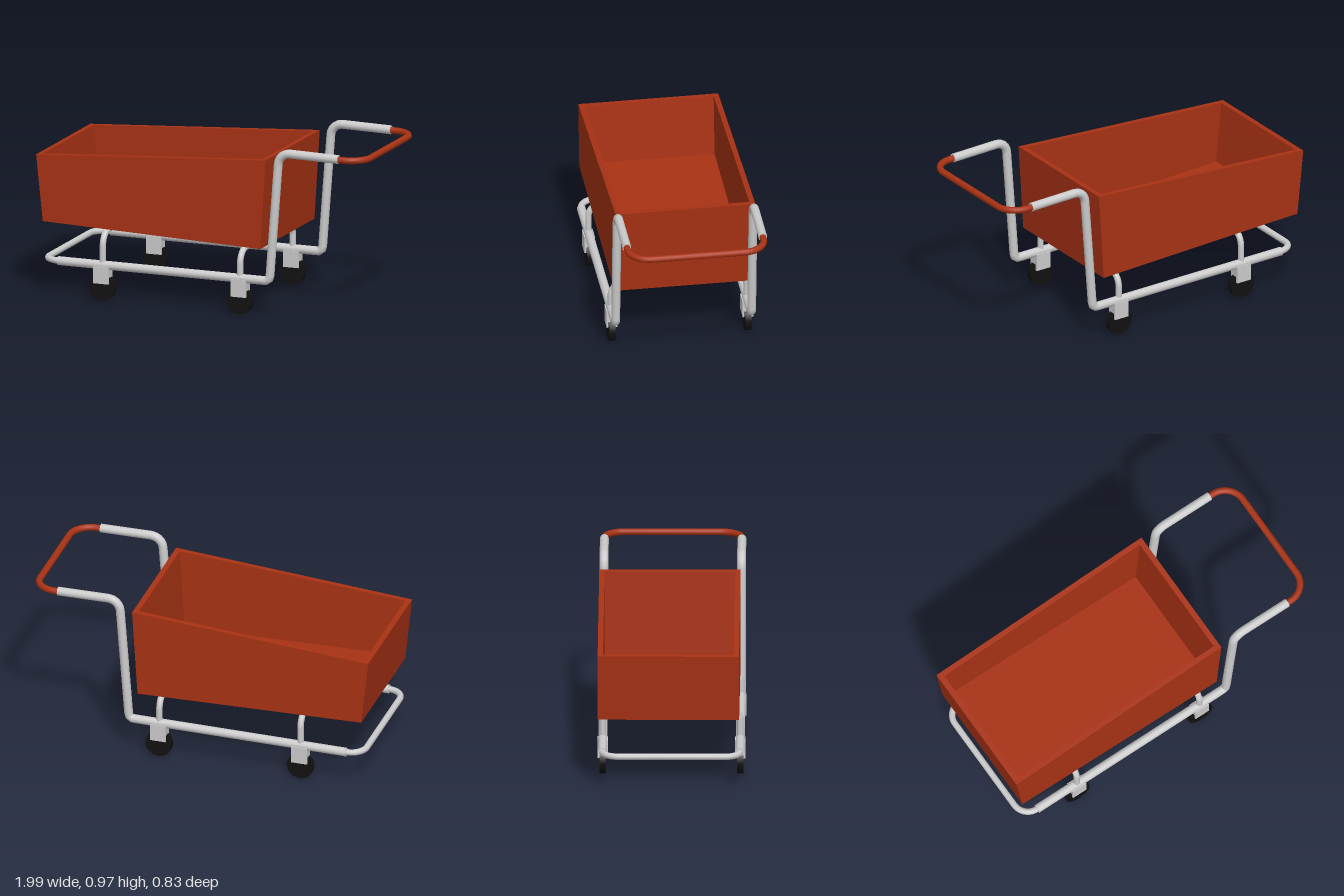
import * as THREE from 'three';

const grey = new THREE.MeshStandardMaterial({ color: 0xcccccc });
const red = new THREE.MeshStandardMaterial({ color: 0xa83214 });
const black = new THREE.MeshStandardMaterial({ color: 0x111111 });

const RAIL_Z = 0.384, RAIL_Y = 0.203;
const V = (x, y, z) => new THREE.Vector3(x, y, z);

function addMesh(parent, name, geometry, material) {
  const mesh = new THREE.Mesh(geometry, material);
  mesh.name = name;
  parent.add(mesh);
  return mesh;
}

// Capped pipe through corner points, each inner corner rounded by its bend size
function pipe(parent, name, points, bends, radius, material) {
  const path = new THREE.CurvePath();
  let from = points[0];
  for (let i = 1; i < points.length - 1; i++) {
    const p = points[i], b = bends[i - 1];
    const inPt = p.clone().add(points[i - 1].clone().sub(p).setLength(b));
    const outPt = p.clone().add(points[i + 1].clone().sub(p).setLength(b));
    path.add(new THREE.LineCurve3(from, inPt));
    // handles at 0.55 of the bend approximate a circular arc
    path.add(new THREE.CubicBezierCurve3(inPt, inPt.clone().lerp(p, 0.55), outPt.clone().lerp(p, 0.55), outPt));
    from = outPt;
  }
  path.add(new THREE.LineCurve3(from, points[points.length - 1]));

  const group = new THREE.Group();
  group.name = name;
  parent.add(group);
  addMesh(group, name + 'Tube', new THREE.TubeGeometry(path, 110, radius, 14), material);
  for (const t of [0, 1]) {
    const dir = path.getTangentAt(t).multiplyScalar(t ? 1 : -1);
    const cap = addMesh(group, name + 'Cap', new THREE.CircleGeometry(radius, 14), material);
    cap.position.copy(path.getPointAt(t));
    cap.quaternion.setFromUnitVectors(V(0, 0, 1), dir);
  }
}

// Flat panel: an outline in x and y, extruded from z0 to z1
function panel(parent, name, outline, z0, z1, material) {
  const shape = new THREE.Shape(outline.map(([x, y]) => new THREE.Vector2(x, y)));
  const geometry = new THREE.ExtrudeGeometry(shape, { depth: z1 - z0, bevelEnabled: false });
  geometry.translate(0, 0, z0);
  return addMesh(parent, name, geometry, material);
}

function makeBasket() {
  const basket = new THREE.Group();
  basket.name = 'basket';
  const zBack = -0.41, zFront = 0.38, t = 0.03;
  // outer and inner corners: bottom left, bottom right, top right, top left
  const o = [[-0.96, 0.42], [0.355, 0.38], [0.387, 0.892], [-1, 0.8]];
  const i = [[-0.933, 0.449], [0.327, 0.411], [0.356, 0.89], [-0.968, 0.802]];
  panel(basket, 'sideWall', o, zBack, zBack + t, red);
  panel(basket, 'sideWall', o, zFront - t, zFront, red);
  panel(basket, 'floor', [o[0], o[1], i[1], i[0]], zBack + t, zFront - t, red);
  panel(basket, 'handleEndWall', [o[1], o[2], i[2], i[1]], zBack + t, zFront - t, red);
  panel(basket, 'noseWall', [o[3], o[0], i[0], i[3]], zBack + t, zFront - t, red);
  return basket;
}

function makeCaster() {
  const caster = new THREE.Group();
  caster.name = 'caster';
  // arched fork, open below for the wheel
  const fork = panel(caster, 'fork', [
    [-0.03, 0.1], [-0.019, 0.1], [-0.019, 0.135], [0.019, 0.135],
    [0.019, 0.1], [0.03, 0.1], [0.03, 0.2], [-0.03, 0.2],
  ], -0.046, 0.046, grey);
  fork.rotation.y = Math.PI / 2;
  const wheel = addMesh(caster, 'wheel', new THREE.CylinderGeometry(0.076, 0.076, 0.036, 28), black);
  wheel.rotation.x = Math.PI / 2;
  wheel.position.y = 0.076;
  return caster;
}

export function createModel() {
  const cart = new THREE.Group();
  cart.name = 'cart';
  cart.add(makeBasket());

  // Side rails rising into the handle posts
  for (const s of [1, -1]) {
    const z = s * RAIL_Z;
    pipe(cart, 'sideRail', [
      V(-0.865, RAIL_Y, z), V(0.413, RAIL_Y, z), V(0.47, 0.945, z), V(0.83, 0.939, z),
    ], [0.025, 0.065], 0.025, grey);
  }

  // Thin loop closing the nose of the frame
  pipe(cart, 'noseLoop', [
    V(-0.84, RAIL_Y, RAIL_Z), V(-0.955, RAIL_Y, RAIL_Z),
    V(-0.955, RAIL_Y, -RAIL_Z), V(-0.84, RAIL_Y, -RAIL_Z),
  ], [0.09, 0.09], 0.018, grey);

  // Push handle
  pipe(cart, 'handle', [
    V(0.81, 0.937, RAIL_Z), V(0.974, 0.935, RAIL_Z),
    V(0.974, 0.935, -RAIL_Z), V(0.81, 0.937, -RAIL_Z),
  ], [0.12, 0.12], 0.019, red);

  // Arched basket supports with a caster under each foot
  for (const [x, top] of [[-0.595, 0.391], [0.235, 0.364]]) {
    pipe(cart, 'supportArch', [
      V(x, RAIL_Y, RAIL_Z), V(x, top, RAIL_Z), V(x, top, -RAIL_Z), V(x, RAIL_Y, -RAIL_Z),
    ], [0.08, 0.08], 0.018, grey);
    for (const s of [1, -1]) {
      const caster = makeCaster();
      caster.position.set(x, 0, s * RAIL_Z);
      cart.add(caster);
    }
  }
  return cart;
}
